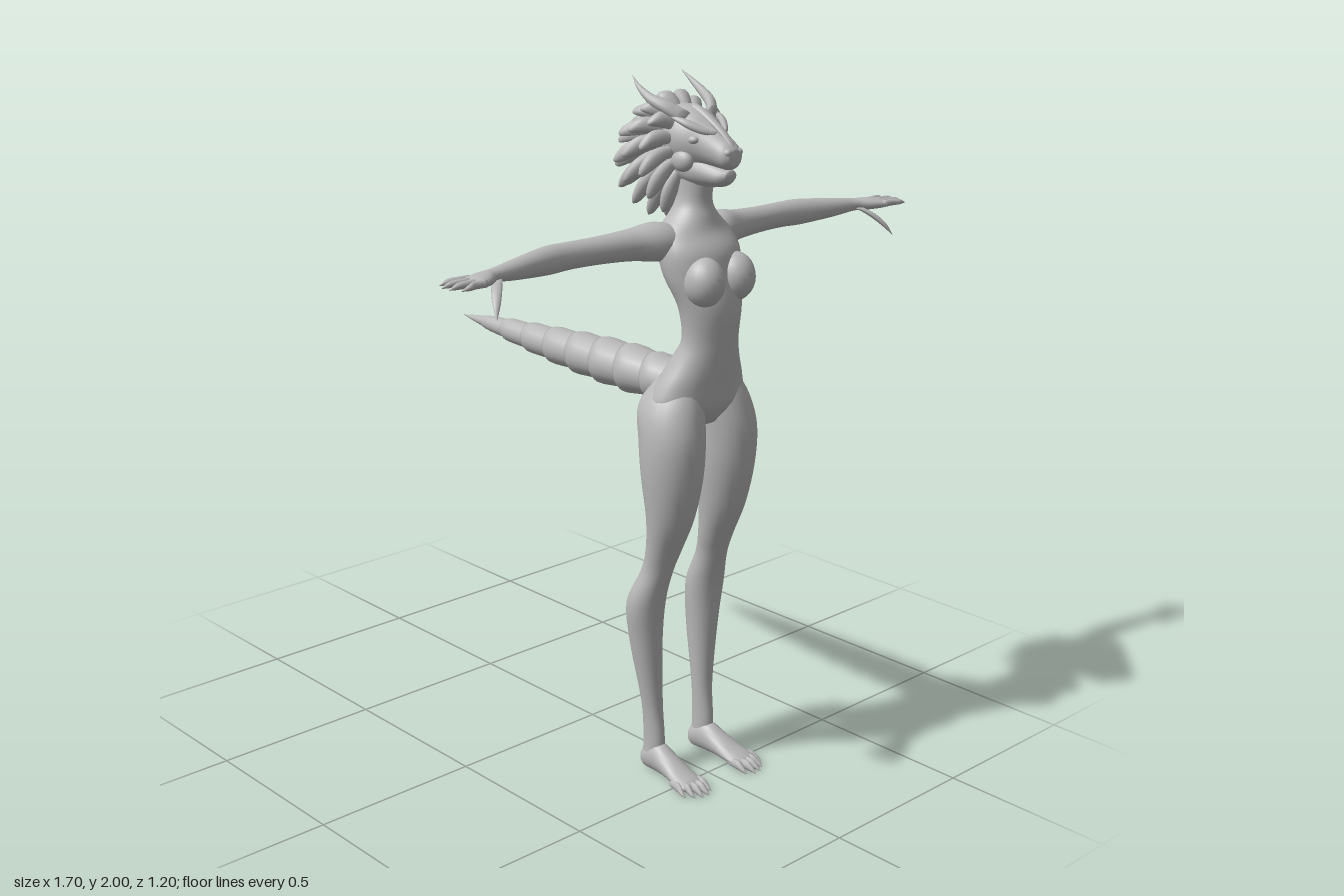
import * as THREE from 'three';

const skin = new THREE.MeshStandardMaterial({ color: 0xb8b8b8 });
skin.name = 'plain grey';
const V = (x, y, z) => new THREE.Vector3(x, y, z);
const X = V(1, 0, 0), Y = V(0, 1, 0), Z = V(0, 0, 1);

// Smooth closed loft through rows [x, y, z, a, b]: ellipses of half-sizes a along u, b along v
function loft(rows, u, v, sides = 20, steps = 4) {
  const centres = new THREE.CatmullRomCurve3(rows.map(r => V(r[0], r[1], r[2])), false, 'catmullrom');
  const sizes = new THREE.CatmullRomCurve3(rows.map(r => V(r[3], r[4], 0)), false, 'catmullrom');
  const n = (rows.length - 1) * steps, pos = [], idx = [];
  for (let i = 0; i <= n; i++) {
    const c = centres.getPoint(i / n), s = sizes.getPoint(i / n);
    for (let j = 0; j < sides; j++) {
      const t = j / sides * Math.PI * 2;
      const p = c.clone().addScaledVector(u, Math.cos(t) * Math.max(s.x, 0.0005))
        .addScaledVector(v, Math.sin(t) * Math.max(s.y, 0.0005));
      pos.push(p.x, p.y, p.z);
    }
  }
  const first = centres.getPoint(0), last = centres.getPoint(1);
  pos.push(first.x, first.y, first.z, last.x, last.y, last.z);
  const flip = u.clone().cross(v).dot(last.clone().sub(first)) < 0;
  const tri = (a, b, c) => flip ? idx.push(a, c, b) : idx.push(a, b, c);
  const head = (n + 1) * sides;
  for (let j = 0; j < sides; j++) {
    const k = (j + 1) % sides;
    for (let i = 0; i < n; i++) {
      const a = i * sides + j, b = i * sides + k;
      tri(a, b, a + sides);
      tri(b, b + sides, a + sides);
    }
    tri(head, k, j);
    tri(head + 1, n * sides + j, n * sides + k);
  }
  const g = new THREE.BufferGeometry();
  g.setAttribute('position', new THREE.Float32BufferAttribute(pos, 3));
  g.setIndex(idx);
  g.computeVertexNormals();
  return g;
}

export function createModel() {
  const model = new THREE.Group();
  model.name = 'hornedCreature';
  const add = (name, geo) => {
    const m = new THREE.Mesh(geo, skin);
    m.name = name;
    model.add(m);
    return m;
  };
  // Same loft on the left (+x) and right
  const pair = (name, rows, u, v, sides, steps) => {
    for (const s of [1, -1])
      add((s > 0 ? 'left' : 'right') + name, loft(rows.map(r => [r[0] * s, ...r.slice(1)]), u, v, sides, steps));
  };
  const ball = (name, x, y, z, rx, ry, rz) => {
    for (const s of [1, -1]) {
      const m = add((s > 0 ? 'left' : 'right') + name, new THREE.SphereGeometry(1, 20, 14));
      m.position.set(x * s, y, z);
      m.scale.set(rx, ry, rz);
    }
  };

  // Torso and neck: [y, half width, z, half depth]
  add('torso', loft([
    [1.065, 0.07, 0.43, 0.05], [1.12, 0.155, 0.425, 0.09], [1.18, 0.145, 0.436, 0.088],
    [1.25, 0.108, 0.457, 0.078], [1.31, 0.088, 0.475, 0.066], [1.40, 0.098, 0.472, 0.075],
    [1.48, 0.122, 0.443, 0.086], [1.55, 0.128, 0.425, 0.09], [1.60, 0.112, 0.405, 0.075],
    [1.64, 0.07, 0.403, 0.063], [1.68, 0.047, 0.405, 0.052], [1.75, 0.045, 0.415, 0.05], [1.82, 0.05, 0.41, 0.05],
  ].map(([y, a, z, b]) => [0, y, z, a, b]), X, Z, 32));
  ball('Chest', 0.058, 1.475, 0.505, 0.056, 0.068, 0.06);

  // Legs
  pair('Leg', [
    [0.07, 1.20, 0.43, 0.05, 0.06], [0.09, 1.12, 0.42, 0.082, 0.098], [0.102, 1.03, 0.437, 0.088, 0.097],
    [0.103, 0.92, 0.44, 0.084, 0.088], [0.103, 0.80, 0.435, 0.069, 0.066], [0.104, 0.70, 0.412, 0.054, 0.048],
    [0.109, 0.63, 0.39, 0.047, 0.045], [0.118, 0.53, 0.357, 0.058, 0.053], [0.113, 0.40, 0.354, 0.047, 0.046],
    [0.102, 0.22, 0.369, 0.031, 0.031], [0.10, 0.11, 0.377, 0.026, 0.036], [0.10, 0.04, 0.375, 0.028, 0.035],
  ], X, Z, 24);

  // Feet and clawed toes
  pair('Foot', [
    [0.098, 0.04, 0.333, 0.012, 0.014], [0.098, 0.042, 0.35, 0.028, 0.036], [0.10, 0.052, 0.40, 0.033, 0.046],
    [0.103, 0.042, 0.45, 0.037, 0.034], [0.107, 0.029, 0.50, 0.042, 0.022], [0.11, 0.021, 0.54, 0.042, 0.015],
    [0.112, 0.019, 0.555, 0.03, 0.008],
  ], X, Y);
  [[0.076, 0.074, 0.585], [0.095, 0.096, 0.6], [0.112, 0.117, 0.598], [0.128, 0.138, 0.585], [0.143, 0.156, 0.565]]
    .forEach(([x, tip, z], i) => pair('Toe' + i, [
      [x, 0.02, z - 0.07, 0.009, 0.012], [x + (tip - x) * 0.5, 0.02, z - 0.035, 0.01, 0.014],
      [tip, 0.012, z - 0.012, 0.006, 0.007], [tip, 0.006, z, 0.001, 0.001]], X, Y, 10));

  // Arms and palms
  pair('Arm', [
    [0.05, 1.565, 0.40, 0.05, 0.045], [0.12, 1.575, 0.385, 0.057, 0.054], [0.20, 1.574, 0.366, 0.044, 0.043],
    [0.30, 1.573, 0.355, 0.038, 0.037], [0.40, 1.573, 0.35, 0.036, 0.036], [0.48, 1.572, 0.353, 0.037, 0.037],
    [0.60, 1.572, 0.375, 0.029, 0.027], [0.68, 1.572, 0.388, 0.023, 0.018], [0.72, 1.572, 0.403, 0.033, 0.018],
    [0.76, 1.571, 0.412, 0.042, 0.014], [0.775, 1.571, 0.413, 0.035, 0.007],
  ], Z, Y);
  // Fingers and thumbs
  [[0.378, 0.373, 0.838], [0.401, 0.4, 0.852], [0.424, 0.427, 0.85], [0.445, 0.456, 0.835]]
    .forEach(([z, tipZ, x], i) => pair('Finger' + i, [
      [0.75, 1.572, z, 0.009, 0.01], [0.785, 1.573, z, 0.01, 0.01],
      [x - 0.025, 1.573, tipZ, 0.008, 0.008], [x, 1.568, tipZ, 0.001, 0.001]], Z, Y, 10));
  pair('Thumb', [
    [0.685, 1.565, 0.405, 0.014, 0.014], [0.71, 1.545, 0.435, 0.014, 0.014],
    [0.733, 1.517, 0.462, 0.01, 0.01], [0.75, 1.487, 0.483, 0.001, 0.001]], Z, X, 10);

  // Tail: overlapping flared bands, swept into chevrons
  const tail = new THREE.CatmullRomCurve3([V(0.36, 1.155, 0.066), V(0.15, 1.157, 0.071), V(-0.05, 1.158, 0.063),
    V(-0.25, 1.16, 0.047), V(-0.45, 1.165, 0.026), V(-0.6, 1.168, 0.001)]);
  const bands = 9;
  for (let i = 0; i < bands; i++) {
    const rows = [0, 0.45, 0.9, 1.15].map((f, k) => {
      const p = tail.getPointAt(Math.min(1, (i + f) / bands));
      const r = p.z * [0.9, 0.99, 1.06, 0.88][k];
      return [0, p.y, p.x, r, r * 0.94];
    });
    const g = loft(rows, X, Y, 20, 3), p = g.attributes.position;
    if (i < bands - 1) for (let k = 0; k < p.count; k++) p.setZ(k, p.getZ(k) + 0.35 * Math.abs(p.getX(k)));
    g.computeVertexNormals();
    add('tailBand' + i, g);
  }

  // Skull, upper muzzle and lower jaw
  add('head', loft([
    [0, 1.84, 0.27, 0.04, 0.05], [0, 1.845, 0.33, 0.08, 0.082], [0, 1.843, 0.39, 0.082, 0.085],
    [0, 1.84, 0.43, 0.074, 0.076], [0, 1.832, 0.47, 0.055, 0.058], [0, 1.818, 0.51, 0.043, 0.045],
    [0, 1.808, 0.54, 0.037, 0.035], [0, 1.806, 0.556, 0.022, 0.02],
  ], X, Y, 24));
  add('lowerJaw', loft([
    [0, 1.775, 0.38, 0.055, 0.055], [0, 1.765, 0.43, 0.056, 0.05], [0, 1.757, 0.48, 0.043, 0.036],
    [0, 1.753, 0.52, 0.034, 0.026], [0, 1.757, 0.542, 0.018, 0.014],
  ], X, Y));
  add('noseRidge', loft([
    [0, 1.925, 0.40, 0.012, 0.01], [0, 1.908, 0.44, 0.014, 0.012], [0, 1.872, 0.50, 0.012, 0.01],
    [0, 1.838, 0.54, 0.01, 0.008], [0, 1.815, 0.555, 0.008, 0.006]], X, Y, 12));
  pair('Brow', [
    [0.018, 1.865, 0.50, 0.006, 0.006], [0.042, 1.873, 0.475, 0.011, 0.01],
    [0.064, 1.889, 0.44, 0.013, 0.011], [0.08, 1.905, 0.395, 0.004, 0.004]], X, Y, 12);
  ball('Eye', 0.056, 1.848, 0.455, 0.013, 0.011, 0.016);
  ball('Nostril', 0.02, 1.82, 0.545, 0.012, 0.011, 0.012);
  ball('Cheek', 0.06, 1.79, 0.42, 0.022, 0.03, 0.035);
  // Swept-back horns
  pair('Horn', [
    [0.05, 1.90, 0.42, 0.02, 0.02], [0.078, 1.925, 0.385, 0.019, 0.018], [0.097, 1.945, 0.34, 0.014, 0.015],
    [0.1, 1.972, 0.295, 0.008, 0.009], [0.092, 2.0, 0.26, 0.001, 0.001]], X, Y, 14);

  // Mane: rings of leaf-shaped locks fanned round the back of the head
  [[14, 5, 0.160], [36, 9, 0.168], [58, 12, 0.172], [79, 15, 0.174], [98, 14, 0.166]].forEach(([deg, count, r], ring) => {
    const al = deg * Math.PI / 180;
    for (let i = 0; i < count; i++) {
      const ph = (i + 0.5 * (ring % 2)) / count * Math.PI * 2 + Math.PI / 2;
      const up = Math.sin(ph), side = Math.cos(ph);
      if (ring > 3 && (Math.abs(side) < 0.35 || up > 0.75)) continue; // leave face and throat open
      const dir = V(Math.sin(al) * side, Math.sin(al) * up, -Math.cos(al));
      const tip = V(0, 1.79, 0.335).addScaledVector(dir, r);
      tip.y -= 0.02 * Math.cos(al);
      const root = V(0, 1.83, 0.38).addScaledVector(dir, 0.07);
      const w = tip.clone().sub(root);
      const u = V(-up, side, 0), v = w.clone().cross(u).normalize();
      const at = (f, lift, a, b) => {
        const p = root.clone().addScaledVector(w, f);
        p.y += lift;
        return [p.x, p.y, p.z, a, b];
      };
      add('maneLock', loft([at(0, 0, 0.012, 0.01), at(0.35, 0.01, 0.021, 0.015), at(0.7, 0.01, 0.024, 0.016),
        at(0.92, 0.003, 0.015, 0.01), at(1, 0, 0.002, 0.002)], u, v, 10, 3));
    }
  });
  return model;
}
